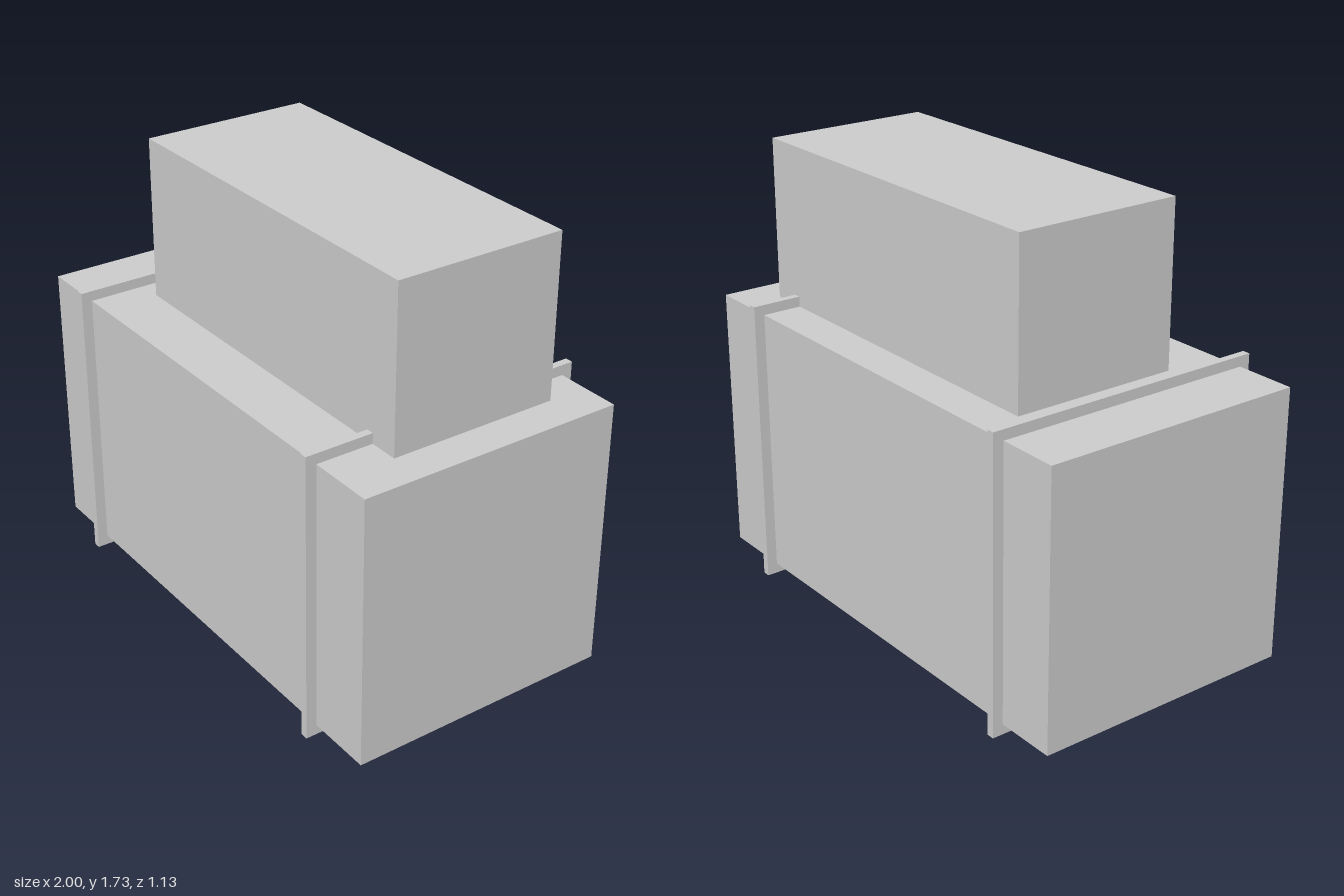
import * as THREE from 'three';

const material = new THREE.MeshStandardMaterial({ color: 0xcccccc, flatShading: true });

// Box given by its extents along each axis
function block(name, [x0, x1], [y0, y1], [z0, z1]) {
  const mesh = new THREE.Mesh(new THREE.BoxGeometry(x1 - x0, y1 - y0, z1 - z0), material);
  mesh.name = name;
  mesh.position.set((x0 + x1) / 2, (y0 + y1) / 2, (z0 + z1) / 2);
  return mesh;
}

export function createModel() {
  const model = new THREE.Group();
  model.name = 'strappedCrates';

  // Large crate with a smaller one stacked off-centre on its lid
  model.add(block('lowerCrate', [-1, 1], [0.04, 1.095], [-0.525, 0.525]));
  model.add(block('upperCrate', [-0.635, 0.855], [1.095, 1.725], [-0.368, 0.3]));

  // Thin bands around the large crate
  for (const [name, x] of [['rightBand', -0.745], ['leftBand', 0.725]]) {
    model.add(block(name, [x - 0.015, x + 0.015], [0, 1.135], [-0.567, 0.567]));
  }
  return model;
}
